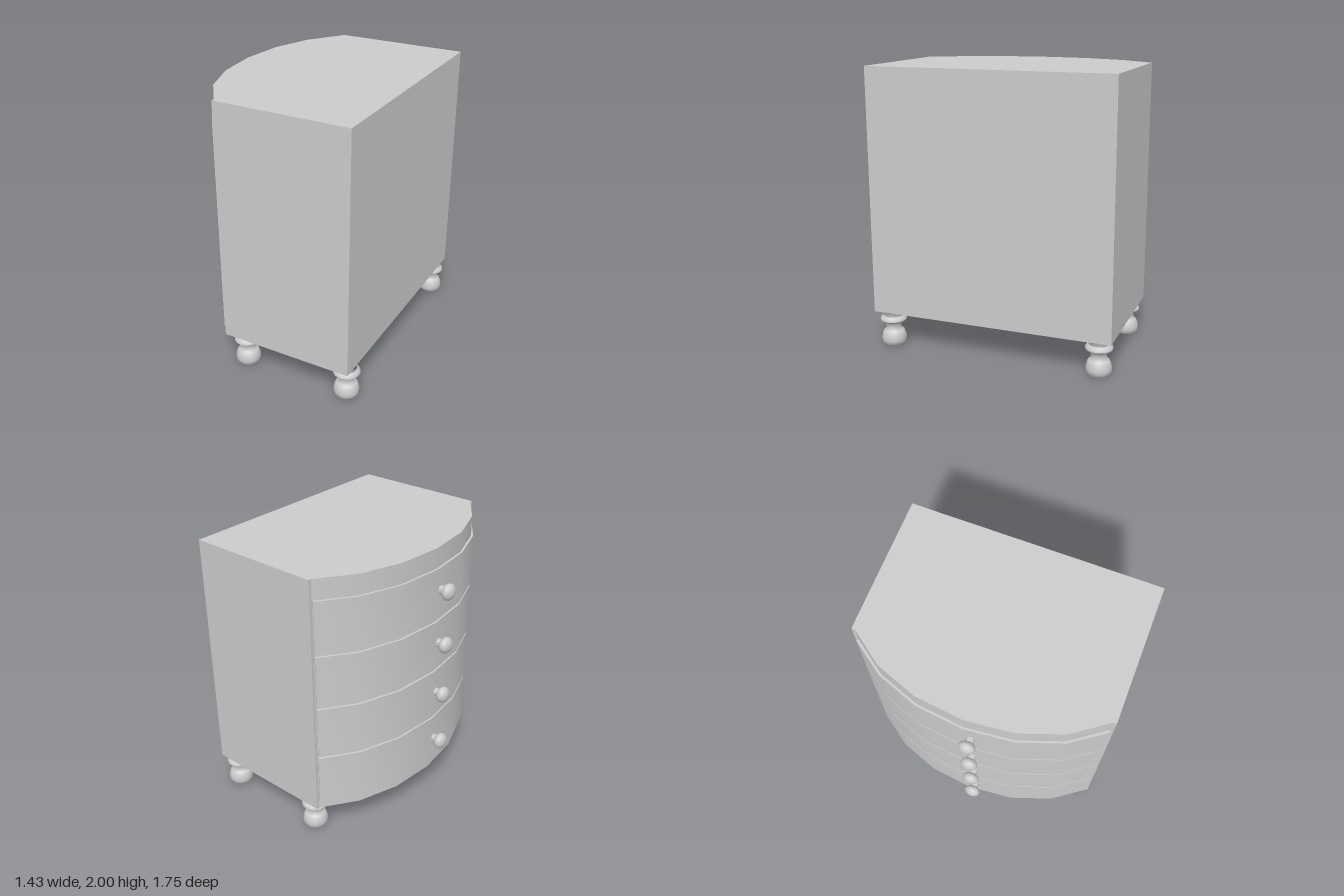
import * as THREE from 'three';
import { toCreasedNormals } from 'three/addons/utils/BufferGeometryUtils.js';

const material = new THREE.MeshStandardMaterial({ color: 0xcccccc });

function addMesh(parent, name, geometry, crease = 0.6) {
  const mesh = new THREE.Mesh(toCreasedNormals(geometry, crease), material);
  mesh.name = name;
  parent.add(mesh);
  return mesh;
}

// Vertical prism from half a plan outline [x, z], mirrored across z = 0
function prism(half, height) {
  const mirrored = half.filter(([, z]) => z > 0).reverse().map(([x, z]) => [x, -z]);
  const points = [...half, ...mirrored].map(([x, z]) => new THREE.Vector2(x, z));
  const geometry = new THREE.ExtrudeGeometry(new THREE.Shape(points), { depth: height, bevelEnabled: false });
  return geometry.rotateX(-Math.PI / 2);
}

function lathe(profile, segments) {
  return new THREE.LatheGeometry(profile.map(([r, y]) => new THREE.Vector2(r, y)), segments);
}

export function createModel() {
  const model = new THREE.Group();
  model.name = 'bowFrontChest';

  // Cabinet with a bowed drawer side facing -x
  const bow = [[-0.605, 0], [-0.57, 0.33], [-0.465, 0.62], [-0.295, 0.855]];
  const cabinet = prism([...bow, [-0.295, 0.877], [0.68, 0.877]], 1.755);
  addMesh(model, 'cabinet', cabinet).position.y = 0.245;

  // Curved drawer fronts, standing slightly proud of the cabinet
  const face = [[-0.62, 0], [-0.585, 0.33], [-0.48, 0.625], [-0.312, 0.862]];
  const back = [[-0.29, 0.845], [-0.45, 0.61], [-0.555, 0.32], [-0.59, 0]];
  const slab = prism([...face, ...back.slice(0, 3)], 0.378);
  // Hollow the slab to follow the bow
  const outline = [...face, ...back];
  const ring = [...outline, ...[...outline].reverse()
    .filter(([, z]) => z > 0).map(([x, z]) => [x, -z])];
  slab.dispose();
  const drawerShape = new THREE.Shape(ring.map(([x, z]) => new THREE.Vector2(x, z)));
  const drawerGeometry = new THREE.ExtrudeGeometry(drawerShape, { depth: 0.378, bevelEnabled: false })
    .rotateX(-Math.PI / 2);

  // Knob: stem and flattened round head
  const knobProfile = [[0.03, 0], [0.03, 0.04]];
  for (let i = 0; i <= 10; i++) {
    const a = -1.0 + (i / 10) * (Math.PI / 2 + 1.0);
    knobProfile.push([Math.max(0, 0.059 * Math.cos(a)), 0.071 + 0.041 * Math.sin(a)]);
  }
  const knobGeometry = lathe(knobProfile, 24).rotateZ(Math.PI / 2);

  for (let i = 0; i < 4; i++) {
    const drawer = new THREE.Group();
    drawer.name = `drawer${i + 1}`;
    drawer.position.y = 0.302 + i * 0.392;
    model.add(drawer);
    addMesh(drawer, 'drawerFront', drawerGeometry);
    addMesh(drawer, 'knob', knobGeometry).position.set(-0.608, 0.188 + i * 0.0095, 0.045);
  }

  // Turned feet
  const footProfile = [
    [0, 0], [0.072, 0], [0.084, 0.012], [0.09, 0.035], [0.088, 0.06], [0.08, 0.085],
    [0.072, 0.1], [0.06, 0.108], [0.054, 0.125], [0.055, 0.145], [0.062, 0.165],
    [0.08, 0.172], [0.094, 0.183], [0.094, 0.195], [0.08, 0.207], [0.07, 0.215],
    [0.073, 0.23], [0.082, 0.247],
  ];
  const footGeometry = lathe(footProfile, 24);
  for (const [x, z] of [[-0.18, 0.77], [0.615, 0.76], [-0.18, -0.775], [0.6, -0.775]]) {
    addMesh(model, 'foot', footGeometry, 0.9).position.set(x, 0, z);
  }
  return model;
}
